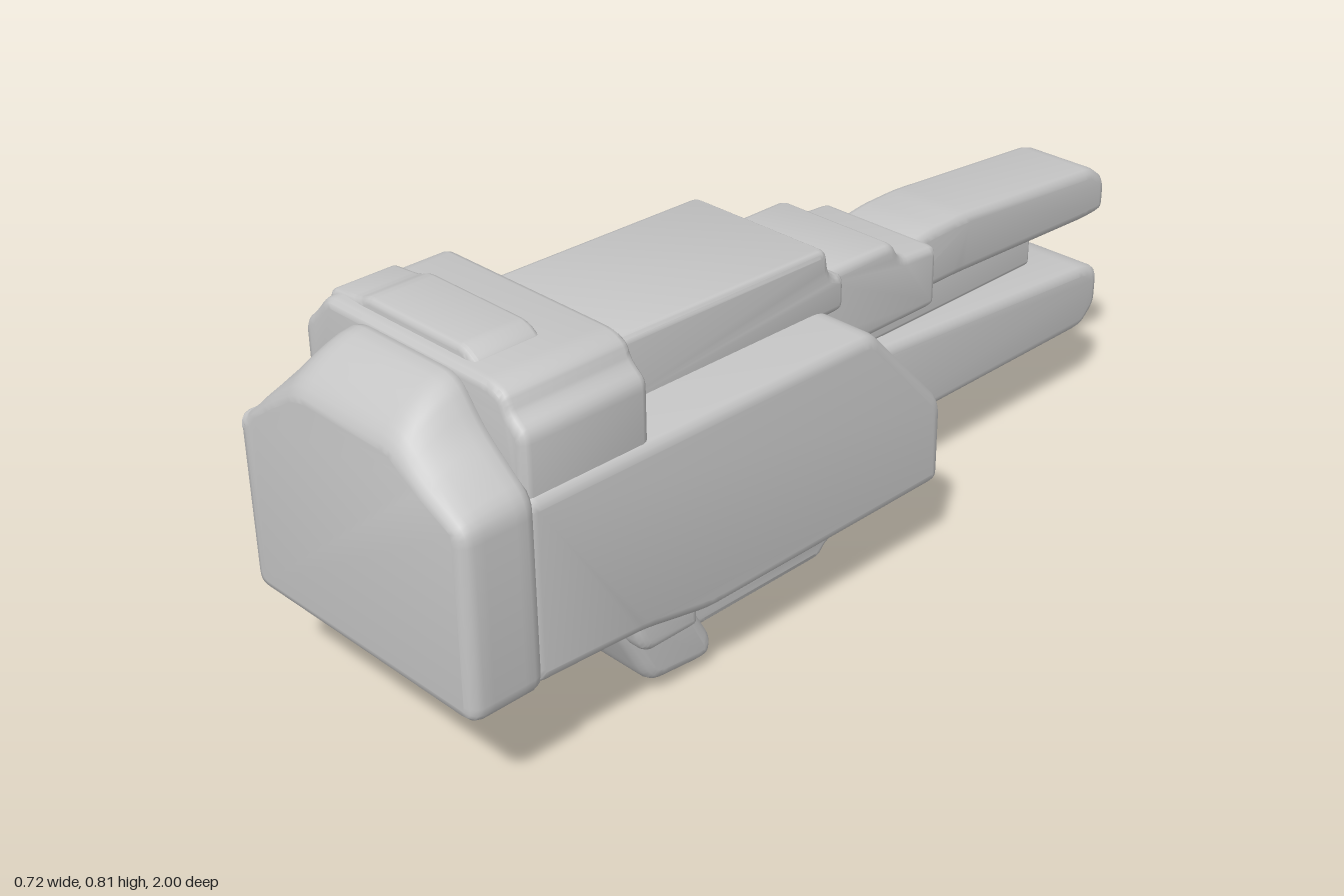
import * as THREE from 'three';
import { toCreasedNormals } from 'three/addons/utils/BufferGeometryUtils.js';

// closed outline with softened corners
function roundedShape(pts, r) {
  const shape = new THREE.Shape();
  const P = pts.map(([x, y]) => new THREE.Vector2(x, y));
  const n = P.length;
  P.forEach((p, i) => {
    const toward = (q) => {
      const d = p.distanceTo(q);
      return p.clone().lerp(q, Math.min(r, d * 0.45) / d);
    };
    const a = toward(P[(i + n - 1) % n]);
    const b = toward(P[(i + 1) % n]);
    if (i === 0) shape.moveTo(a.x, a.y);
    else shape.lineTo(a.x, a.y);
    shape.quadraticCurveTo(p.x, p.y, b.x, b.y);
  });
  shape.closePath();
  return shape;
}

// extrude an outline from 0 to depth, with rounded edges that stay inside it
function softExtrude(pts, depth, bevel, r, steps = 1) {
  return new THREE.ExtrudeGeometry(roundedShape(pts, r), {
    depth: depth - 2 * bevel, steps, curveSegments: 4,
    bevelEnabled: true, bevelThickness: bevel, bevelSize: bevel,
    bevelOffset: -bevel, bevelSegments: 3,
  }).translate(0, 0, bevel);
}

export function createModel() {
  const group = new THREE.Group();
  const grey = new THREE.MeshStandardMaterial({ color: 0xc6c6c6 });
  grey.name = 'plainGrey';

  const add = (name, geometry) => {
    const mesh = new THREE.Mesh(toCreasedNormals(geometry, 0.65), grey);
    mesh.name = name;
    group.add(mesh);
  };
  // side outline in (z, y), spanning x0 to x1
  const side = (name, x0, x1, pts, bevel = 0.02, r = 0.03) =>
    add(name, softExtrude(pts, x1 - x0, bevel, r).rotateY(-Math.PI / 2).translate(x1, 0, 0));
  // front outline in (x, y), spanning z0 to z1
  const front = (name, z0, z1, pts, bevel = 0.02, r = 0.025) =>
    add(name, softExtrude(pts, z1 - z0, bevel, r).translate(0, 0, z0));
  const rect = (a0, a1, b0, b1) => [[a0, b0], [a1, b0], [a1, b1], [a0, b1]];

  // main housing with a sloped far end
  side('mainBody', -0.26, 0.352, [
    [0.86, 0.235], [0.86, 0.605], [0.01, 0.6], [-0.2, 0.375],
    [-0.2, 0.19], [0.44, 0.19], [0.6, 0.222],
  ], 0.025);

  // front block: its upper part curves down toward the front face
  const block = softExtrude([
    [-0.26, 0.23], [0.36, 0.23], [0.36, 0.615], [0.25, 0.705], [0.19, 0.785],
    [-0.08, 0.785], [-0.17, 0.685], [-0.24, 0.59], [-0.26, 0.59],
  ], 0.16, 0.025, 0.035, 5).translate(0, 0, 0.84);
  const pos = block.attributes.position;
  for (let i = 0; i < pos.count; i++) {
    const y = pos.getY(i);
    const t = (pos.getZ(i) - 0.84) / 0.16;
    if (y > 0.6) pos.setY(i, 0.6 + (y - 0.6) * (1 - 0.45 * t * t));
  }
  add('frontBlock', block);

  // raised block behind it, with stepped shoulders and a ridge
  front('upperBlock', 0.57, 0.85, [
    [-0.25, 0.56], [0.34, 0.56], [0.34, 0.72], [0.305, 0.745], [0.295, 0.775],
    [0.26, 0.79], [-0.18, 0.79], [-0.215, 0.75], [-0.25, 0.72],
  ], 0.018, 0.02);
  front('upperRidge', 0.68, 0.825, [
    [-0.2, 0.75], [0.2, 0.75], [0.2, 0.788], [0.165, 0.81], [-0.09, 0.81], [-0.12, 0.797], [-0.2, 0.79],
  ], 0.012, 0.015);

  // top cover and the stepped collar leading to the bars
  side('topCover', -0.13, 0.22, [
    [0.59, 0.58], [0.59, 0.732], [0.0, 0.725], [-0.01, 0.665],
    [-0.05, 0.655], [-0.05, 0.58],
  ], 0.015, 0.02);
  side('collar', -0.108, 0.195, [
    [0.0, 0.5], [0.0, 0.655], [-0.22, 0.655], [-0.245, 0.612],
    [-0.355, 0.605], [-0.355, 0.47], [-0.1, 0.47],
  ], 0.018, 0.02);

  // three bars reaching backward
  side('upperBar', -0.06, 0.14, [
    [-0.3, 0.468], [-0.3, 0.59], [-0.4, 0.605], [-0.5, 0.607], [-0.95, 0.572],
    [-1.0, 0.535], [-1.0, 0.455], [-0.93, 0.452], [-0.5, 0.468],
  ], 0.022, 0.025);
  side('middleBar', -0.02, 0.1, rect(-0.79, -0.05, 0.38, 0.475), 0.01, 0.012);
  side('lowerBar', -0.06, 0.14, [
    [-0.1, 0.18], [-0.1, 0.392], [-0.2, 0.39], [-0.95, 0.335],
    [-1.0, 0.315], [-1.0, 0.225], [-0.95, 0.18],
  ], 0.022, 0.025);

  // parts below the housing
  side('lowerMagazine', -0.1, 0.18, [
    [0.4, 0.22], [0.385, 0.07], [0.33, 0.02], [0.31, 0.002], [-0.04, 0.002],
    [-0.06, 0.028], [-0.12, 0.04], [-0.145, 0.08], [-0.185, 0.1], [-0.2, 0.22],
  ], 0.018, 0.02);
  side('slantedGrip', -0.192, 0.285, [
    [0.62, 0.24], [0.6, 0.17], [0.545, 0.06], [0.52, 0.035], [0.38, 0.022],
    [0.365, 0.06], [0.42, 0.16], [0.43, 0.24],
  ], 0.025, 0.03);
  side('gripShoulder', 0.1, 0.322, [
    [0.61, 0.24], [0.59, 0.17], [0.57, 0.145], [0.44, 0.145], [0.44, 0.24],
  ], 0.02, 0.02);
  side('bottomRail', -0.22, 0.31, rect(0.42, 0.74, 0.212, 0.26), 0.01, 0.012);

  // plate on the right flank
  front('sidePlate', 0.02, 0.922, [
    [-0.265, 0.25], [-0.265, 0.525], [-0.285, 0.536], [-0.335, 0.525], [-0.363, 0.5],
    [-0.363, 0.34], [-0.355, 0.265], [-0.33, 0.245], [-0.28, 0.233],
  ], 0.015, 0.015);

  return group;
}
